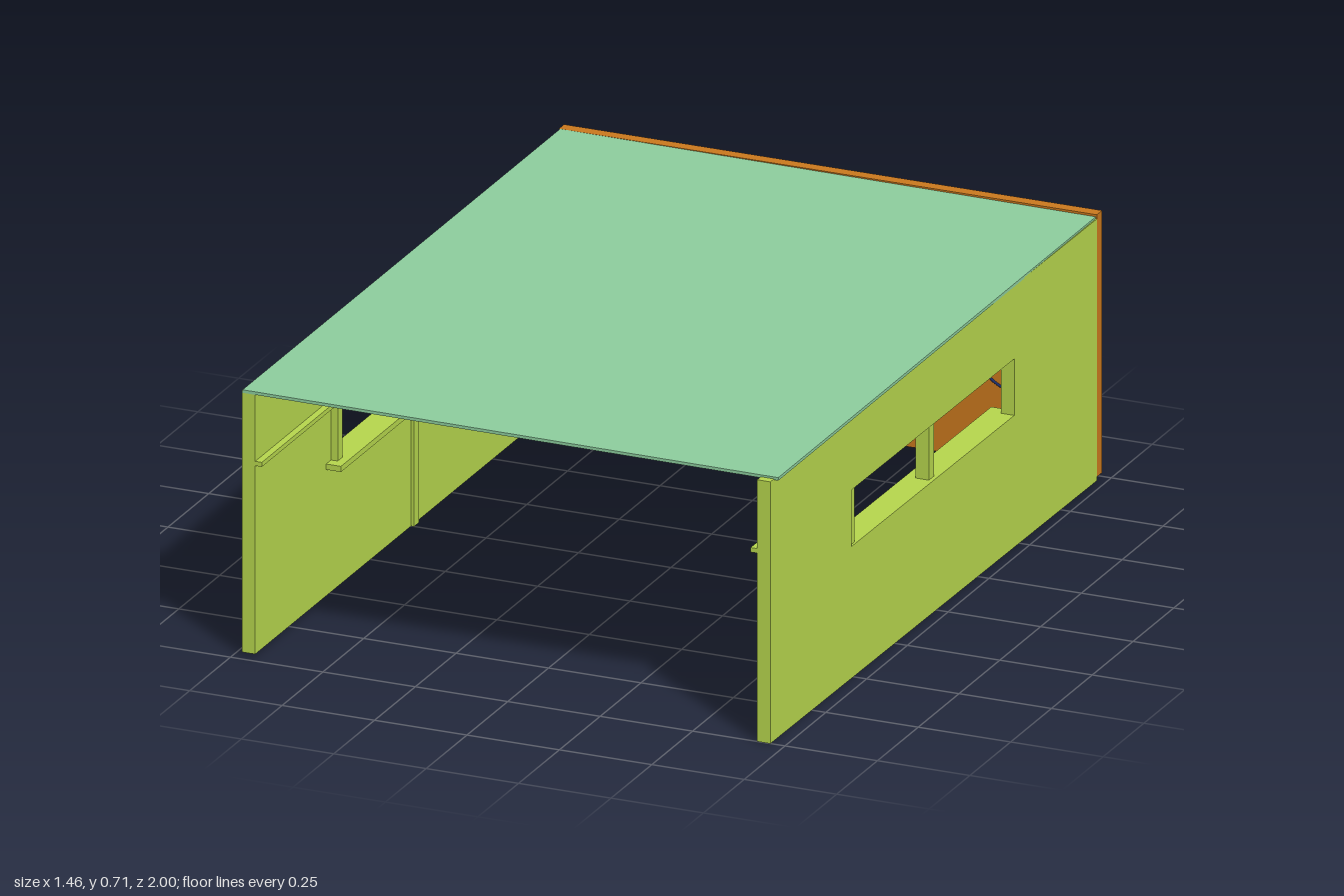
import * as THREE from 'three';

const mat = (color, extra = {}) => new THREE.MeshStandardMaterial({ color, ...extra });
const LIME = mat(0xb8d84e), ORANGE = mat(0xcc7a1e), GREEN = mat(0x8ecf9f);
const NAVY = mat(0x1c2c66), GREY = mat(0xb4b4b4);

function add(parent, name, geometry, material) {
  const mesh = new THREE.Mesh(geometry, material);
  mesh.name = name;
  parent.add(mesh);
  return mesh;
}

// Box given by its lower and upper limits on each axis
function box(parent, name, material, [x0, x1], [y0, y1], [z0, z1]) {
  const geometry = new THREE.BoxGeometry(Math.abs(x1 - x0), y1 - y0, z1 - z0);
  add(parent, name, geometry, material).position.set((x0 + x1) / 2, (y0 + y1) / 2, (z0 + z1) / 2);
}

function rectangle(Type, x0, x1, y0, y1) {
  return new Type([[x0, y0], [x1, y0], [x1, y1], [x0, y1]].map(p => new THREE.Vector2(...p)));
}

// Side wall with a window; its inner face lies on x = 0, side is +1 or -1 outwards
function sideWall(name, side, zFront) {
  const wall = new THREE.Group();
  wall.name = name;
  const thick = 0.036;

  const shape = rectangle(THREE.Shape, -0.97, zFront, 0, 0.695);
  shape.holes.push(rectangle(THREE.Path, -0.47, 0.51, 0.35, 0.5));
  const panel = new THREE.ExtrudeGeometry(shape, { depth: thick, bevelEnabled: false });
  panel.rotateY(-Math.PI / 2);
  if (side > 0) panel.translate(thick, 0, 0);
  add(wall, 'wallPanel', panel, LIME);

  // Trim standing proud of the inner face
  const inward = d => [-side * d, 0];
  box(wall, 'windowSill', LIME, inward(0.04), [0.335, 0.35], [-0.5, 0.54]);
  box(wall, 'wallRail', LIME, inward(0.018), [0.5, 0.512], [-0.97, zFront]);
  box(wall, 'wallPost', LIME, inward(0.008), [0, 0.335], [-0.01, 0.02]);
  box(wall, 'windowJamb', LIME, [-side * 0.018, side * 0.03], [0.35, 0.5], [0.48, 0.51]);
  box(wall, 'windowMullion', LIME, [-side * 0.012, side * 0.025], [0.35, 0.5], [-0.01, 0.02]);
  return wall;
}

export function createModel() {
  const room = new THREE.Group();
  room.name = 'classroom';

  // Back wall
  box(room, 'backWall', ORANGE, [-0.73, 0.725], [0.01, 0.706], [-1, -0.968]);

  // Side walls, the one on +x turned in slightly
  const leftWall = sideWall('leftWall', 1, 1);
  leftWall.position.x = 0.682;
  leftWall.rotation.y = -0.0075;
  const rightWall = sideWall('rightWall', -1, 0.975);
  rightWall.position.set(-0.694, 0.008, 0);
  room.add(leftWall, rightWall);

  // Thin, slightly sloping roof with stepped ceiling panels
  const roof = new THREE.Group();
  roof.name = 'roof';
  box(roof, 'roofSheet', GREEN, [-0.727, 0.722], [-0.004, 0.004], [-0.968, 0.978]);
  box(roof, 'ceilingPanel', GREEN, [-0.34, 0.34], [-0.01, -0.004], [-0.48, 0.48]);
  box(roof, 'ceilingInset', GREEN, [-0.22, 0.22], [-0.014, -0.01], [-0.31, 0.31]);
  roof.position.y = 0.699;
  roof.rotation.z = -0.004;
  room.add(roof);

  // Display board
  box(room, 'displayBoard', GREY, [-0.35, 0.38], [0.175, 0.655], [-0.968, -0.957]);

  // Interlaced rings either side of the board
  const rings = [
    [-0.438, 0.52], [-0.55, 0.42], [-0.44, 0.34],
    [0.42, 0.483], [0.56, 0.477], [0.52, 0.33],
  ];
  for (const [x, y] of rings) {
    const ring = add(room, 'wallRing', new THREE.TorusGeometry(0.132, 0.0035, 8, 64), NAVY);
    ring.position.set(x, y, -0.967);
  }
  return room;
}
